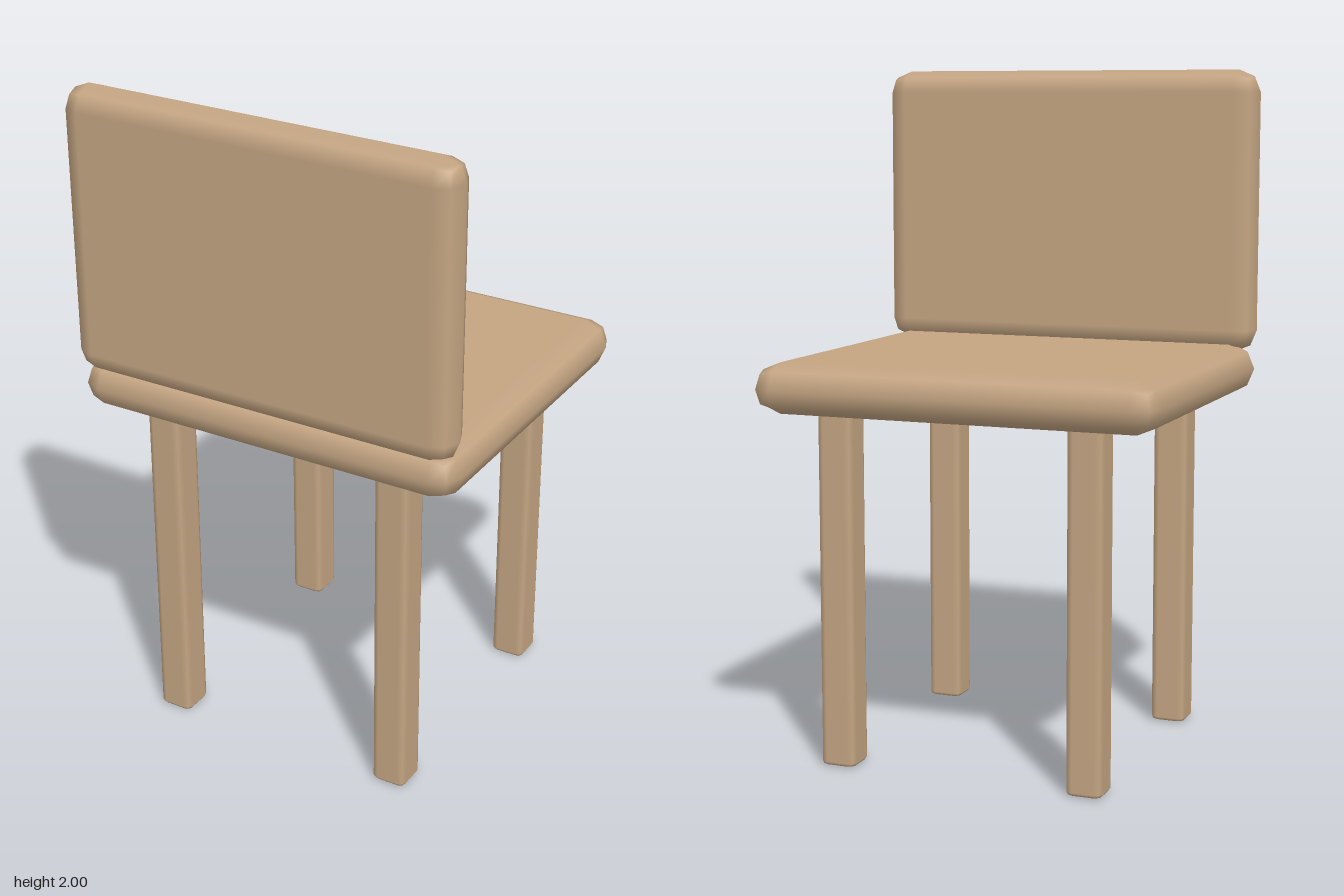
import * as THREE from 'three';
import { RoundedBoxGeometry } from 'three/addons/geometries/RoundedBoxGeometry.js';

export function createModel() {
  const chair = new THREE.Group();
  chair.name = 'chair';
  const wood = new THREE.MeshStandardMaterial({ color: 0xc4a582 });
  wood.name = 'wood';

  // Box with coarse, smooth-shaded rounding (two facets per quarter turn)
  function slab(name, [x0, x1], [y0, y1], [z0, z1], radius, stretchY = 1) {
    const geometry = new RoundedBoxGeometry(x1 - x0, (y1 - y0) / stretchY, z1 - z0, 1, radius);
    geometry.scale(1, stretchY, 1);
    const mesh = new THREE.Mesh(geometry, wood);
    mesh.name = name;
    mesh.position.set((x0 + x1) / 2, (y0 + y1) / 2, (z0 + z1) / 2);
    chair.add(mesh);
  }

  // Seat and backrest; the rest stands at the +z edge
  slab('seat', [-0.605, 0.605], [1.028, 1.175], [-0.538, 0.522], 0.0735);
  slab('backrest', [-0.605, 0.605], [1.15, 2], [0.404, 0.538], 0.067);

  // Four square legs with softened edges, flatter at the feet
  for (const [side, sign] of [['left', 1], ['right', -1]]) {
    const x = [sign * 0.376 - 0.054, sign * 0.376 + 0.054];
    slab(side + 'LegBackrestSide', x, [0, 1.06], [0.328, 0.436], 0.022, 0.6);
    slab(side + 'LegOpenSide', x, [0, 1.06], [-0.448, -0.34], 0.022, 0.6);
  }
  return chair;
}
